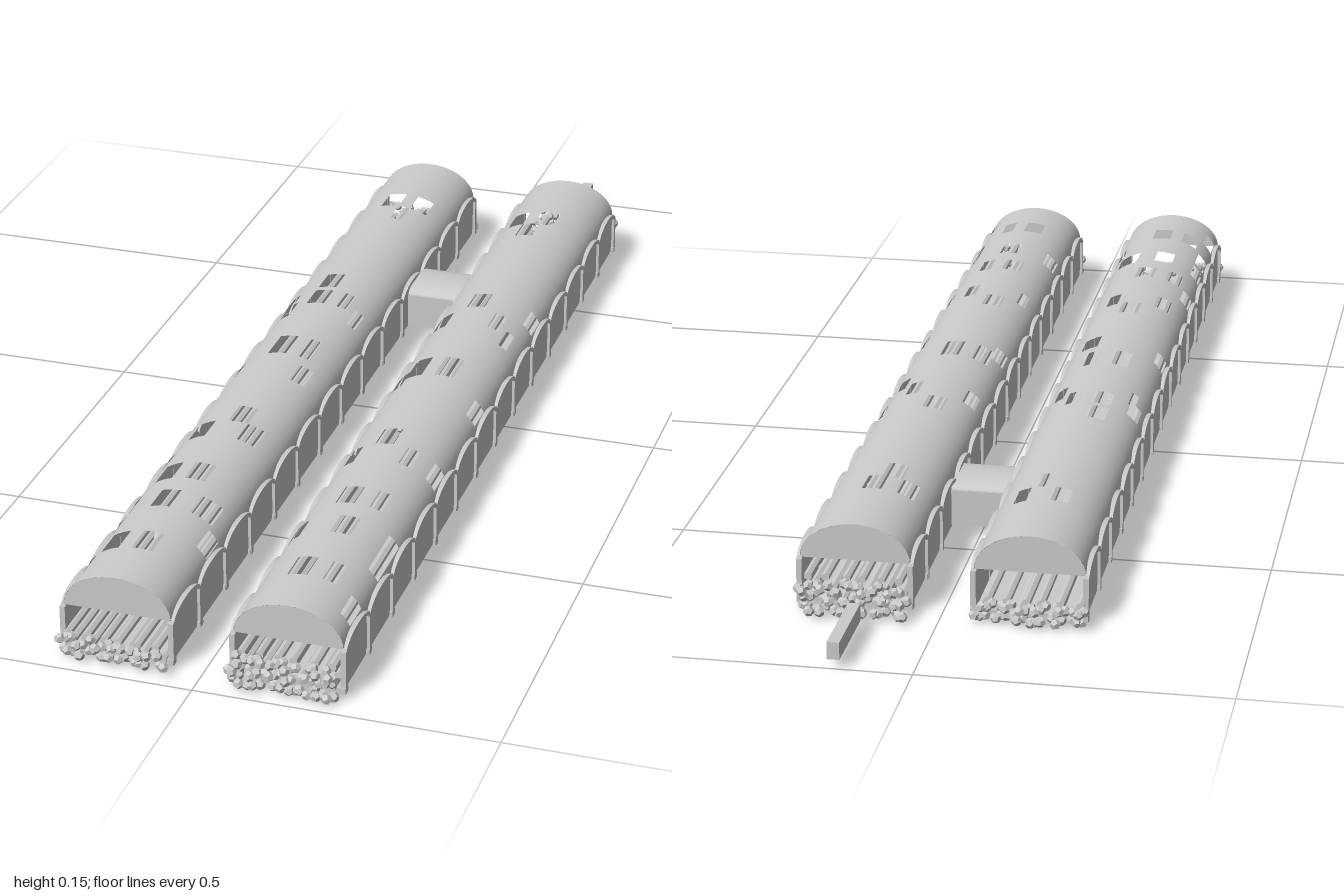
import * as THREE from 'three';

const Z0 = -0.77, Z1 = 0.945, LEN = Z1 - Z0, ZC = (Z0 + Z1) / 2;
const HALF = 0.09, SPRING = 0.085, RISE = 0.062, BAYS = 14;

const smooth = new THREE.MeshStandardMaterial({ color: 0xcccccc, side: THREE.DoubleSide });
const flat = new THREE.MeshStandardMaterial({ color: 0xcccccc, flatShading: true, side: THREE.DoubleSide });

// Missing roof panels as [x, z], x measured from each hall's axis
const HOLES_RIGHT = [
  [-0.017, -0.59], [0.038, -0.59], [0.011, -0.53], [-0.017, -0.2], [-0.074, -0.13], [-0.017, -0.13],
  [0.035, -0.13], [0.062, -0.08], [-0.062, -0.08], [-0.017, 0.08], [0.033, 0.08], [-0.077, 0.16],
  [0.045, 0.17], [0.008, 0.36], [-0.045, 0.42], [0.04, 0.42], [0.004, 0.58], [-0.05, 0.58],
  [-0.077, 0.51], [-0.077, 0.67], [-0.02, 0.67], [0.053, 0.67], [0.077, 0.75], [-0.077, 0.75],
  [-0.05, 0.81], [0.005, 0.81], [-0.077, 0.87],
];
const HOLES_LEFT = [
  [-0.047, -0.59], [0.008, -0.59], [-0.02, -0.53], [-0.02, -0.2], [-0.067, -0.13], [0.033, -0.13],
  [0.077, -0.2], [0.062, -0.08], [-0.047, 0.08], [0.008, 0.08], [-0.072, 0.12], [0.077, 0.17],
  [-0.02, 0.36], [0.035, 0.42], [-0.062, 0.42], [0.077, 0.42], [-0.02, 0.58], [0.033, 0.58],
  [-0.072, 0.67], [0.008, 0.67], [0.077, 0.67], [0.077, 0.73], [-0.02, 0.81], [0.033, 0.81], [0.077, 0.87],
];

function rng(seed) {
  return () => (seed = (seed * 16807) % 2147483647) / 2147483647;
}

function add(parent, name, geometry, material, x = 0, y = 0, z = 0) {
  const mesh = new THREE.Mesh(geometry, material);
  mesh.name = name;
  mesh.position.set(x, y, z);
  parent.add(mesh);
  return mesh;
}

// Barrel vault as a fine grid with the missing panels left out
function vaultGeometry(holes) {
  const cols = 24, rows = 120, pos = [], nor = [], index = [];
  for (let r = 0; r <= rows; r++) {
    for (let c = 0; c <= cols; c++) {
      const a = Math.PI * (1 - c / cols);
      pos.push(HALF * Math.cos(a), SPRING + RISE * Math.sin(a), Z0 + (LEN * r) / rows);
      const n = new THREE.Vector3(Math.cos(a) / HALF, Math.sin(a) / RISE, 0).normalize();
      nor.push(n.x, n.y, n.z);
    }
  }
  for (let r = 0; r < rows; r++) {
    for (let c = 0; c < cols; c++) {
      const x = HALF * Math.cos(Math.PI * (1 - (c + 0.5) / cols));
      const z = Z0 + (LEN * (r + 0.5)) / rows;
      const open = holes.some(([hx, hz]) =>
        Math.abs(x - hx) < (Math.abs(hx) > 0.06 ? 0.009 : 0.015) && Math.abs(z - hz) < 0.029);
      if (open) continue;
      const a = r * (cols + 1) + c, b = a + 1, d = a + cols + 1, e = d + 1;
      index.push(a, d, b, b, d, e);
    }
  }
  const g = new THREE.BufferGeometry();
  g.setAttribute('position', new THREE.Float32BufferAttribute(pos, 3));
  g.setAttribute('normal', new THREE.Float32BufferAttribute(nor, 3));
  g.setIndex(index);
  return g;
}

// Points over one arched bay of width w
function archPoints(w, foot, rise) {
  return Array.from({ length: 13 }, (_, i) => {
    const a = Math.PI * (1 - i / 12);
    return new THREE.Vector2((w / 2) * Math.cos(a), foot + rise * Math.sin(a));
  });
}

function extrudeSideways(shape, depth) {
  return new THREE.ExtrudeGeometry(shape, { depth, bevelEnabled: false })
    .translate(0, 0, -depth / 2).rotateY(Math.PI / 2);
}

// Recessed wall panel and raised rib of one bay
const BAY = LEN / BAYS;
const panelGeo = extrudeSideways(new THREE.Shape([
  new THREE.Vector2(-BAY / 2, 0.012), ...archPoints(BAY, 0.082, 0.016), new THREE.Vector2(BAY / 2, 0.012),
]), 0.003);
const ribGeo = extrudeSideways(new THREE.Shape([
  ...archPoints(BAY, 0.08, 0.02), ...archPoints(BAY - 0.008, 0.076, 0.017).reverse(),
]), 0.009);
const postGeo = new THREE.BoxGeometry(0.009, 0.074, 0.01);
const footGeo = new THREE.BoxGeometry(0.014, 0.01, 0.016);

function buildWall(side) {
  const wall = new THREE.Group();
  wall.name = 'sideWall';
  for (let i = 0; i <= BAYS; i++) {
    const z = Z0 + i * BAY;
    add(wall, 'wallPost', postGeo, flat, side * 0.091, 0.045, z);
    add(wall, 'postFoot', footGeo, flat, side * 0.088, 0.014, z);
    if (i === BAYS) break;
    add(wall, 'wallPanel', panelGeo, flat, side * 0.089, 0, z + BAY / 2);
    add(wall, 'archRib', ribGeo, flat, side * 0.091, 0, z + BAY / 2);
  }
  return wall;
}

function buildHall(name, holes) {
  const hall = new THREE.Group();
  hall.name = name;
  add(hall, 'floor', new THREE.BoxGeometry(0.18, 0.006, LEN), flat, 0, 0.013, ZC);
  add(hall, 'vaultRoof', vaultGeometry(holes), smooth);
  hall.add(buildWall(1), buildWall(-1));
  const lunette = new THREE.ShapeGeometry(new THREE.Shape(archPoints(HALF * 2, SPRING, RISE)));
  for (const z of [Z0, Z1]) add(hall, 'endLunette', lunette, flat, 0, 0, z);
  return hall;
}

// Stacked logs with lumpy hexagonal ends projecting from the hall
const chunkGeo = new THREE.DodecahedronGeometry(0.009);
const logGeo = new THREE.CylinderGeometry(0.007, 0.007, LEN + 0.02, 6).rotateX(Math.PI / 2);
function buildLogs(rows, top, back, front, seed) {
  const group = new THREE.Group(), rand = rng(seed);
  group.name = 'stackedLogs';
  for (let r = 0; r < rows; r++) {
    const y = 0.013 + ((top - 0.026) * r) / (rows - 1);
    for (let i = 0; i < 6; i++) {
      const x = -0.075 + i * 0.03 + (r % 2 ? -0.008 : 0) + (rand() - 0.5) * 0.008;
      add(group, 'log', logGeo, flat, x, y + 0.005, ZC);
      for (const [edge, out] of [[Z0, -back], [Z1, front]]) {
        for (let k = 0; k < 3; k++) {
          const chunk = add(group, 'logEnd', chunkGeo, flat,
            x + (k - 1) * 0.008, y + (rand() - 0.5) * 0.007, edge + out * (0.25 + 0.6 * rand()));
          chunk.rotation.set(rand() * 3, rand() * 3, rand() * 3);
        }
      }
    }
  }
  return group;
}

// Loose heap of debris lying below a roof opening
function buildHeap(x, z, seed) {
  const heap = new THREE.Group(), rand = rng(seed);
  heap.name = 'debrisHeap';
  for (let i = 0; i < 14; i++) {
    const chunk = add(heap, 'debris', chunkGeo, flat,
      x + (rand() - 0.5) * 0.03, 0.009 + rand() * 0.03, z + (rand() - 0.5) * 0.07);
    chunk.rotation.set(rand() * 3, rand() * 3, rand() * 3);
  }
  return heap;
}

// Short vaulted link between the halls
function buildPassage() {
  const g = new THREE.Group();
  g.name = 'linkPassage';
  const roof = new THREE.CylinderGeometry(1, 1, 0.1, 16, 1, true, 0, Math.PI)
    .rotateZ(Math.PI / 2).scale(1, 0.016, 0.058);
  add(g, 'passageRoof', roof, smooth, 0, 0.077, -0.375);
  for (const s of [-1, 1]) {
    add(g, 'passageWall', new THREE.BoxGeometry(0.1, 0.062, 0.005), flat, 0, 0.047, -0.375 + s * 0.056);
  }
  add(g, 'passageFloor', new THREE.BoxGeometry(0.1, 0.004, 0.112), flat, 0, 0.018, -0.375);
  return g;
}

export function createModel() {
  const model = new THREE.Group();
  model.name = 'twinVaultedHalls';

  const rightHall = buildHall('rightHall', HOLES_RIGHT);
  rightHall.position.x = -0.143;
  rightHall.add(buildLogs(2, 0.044, 0.038, 0.036, 11), buildHeap(-0.045, 0.585, 5));

  const leftHall = buildHall('leftHall', HOLES_LEFT);
  leftHall.position.x = 0.141;
  leftHall.add(buildLogs(3, 0.064, 0.066, 0.042, 29), buildHeap(-0.06, 0.11, 8));

  model.add(rightHall, leftHall, buildPassage());

  // Beam lying behind the left hall
  add(model, 'looseBeam', new THREE.BoxGeometry(0.02, 0.029, 0.152), flat, 0.125, 0.031, -0.924);
  return model;
}
